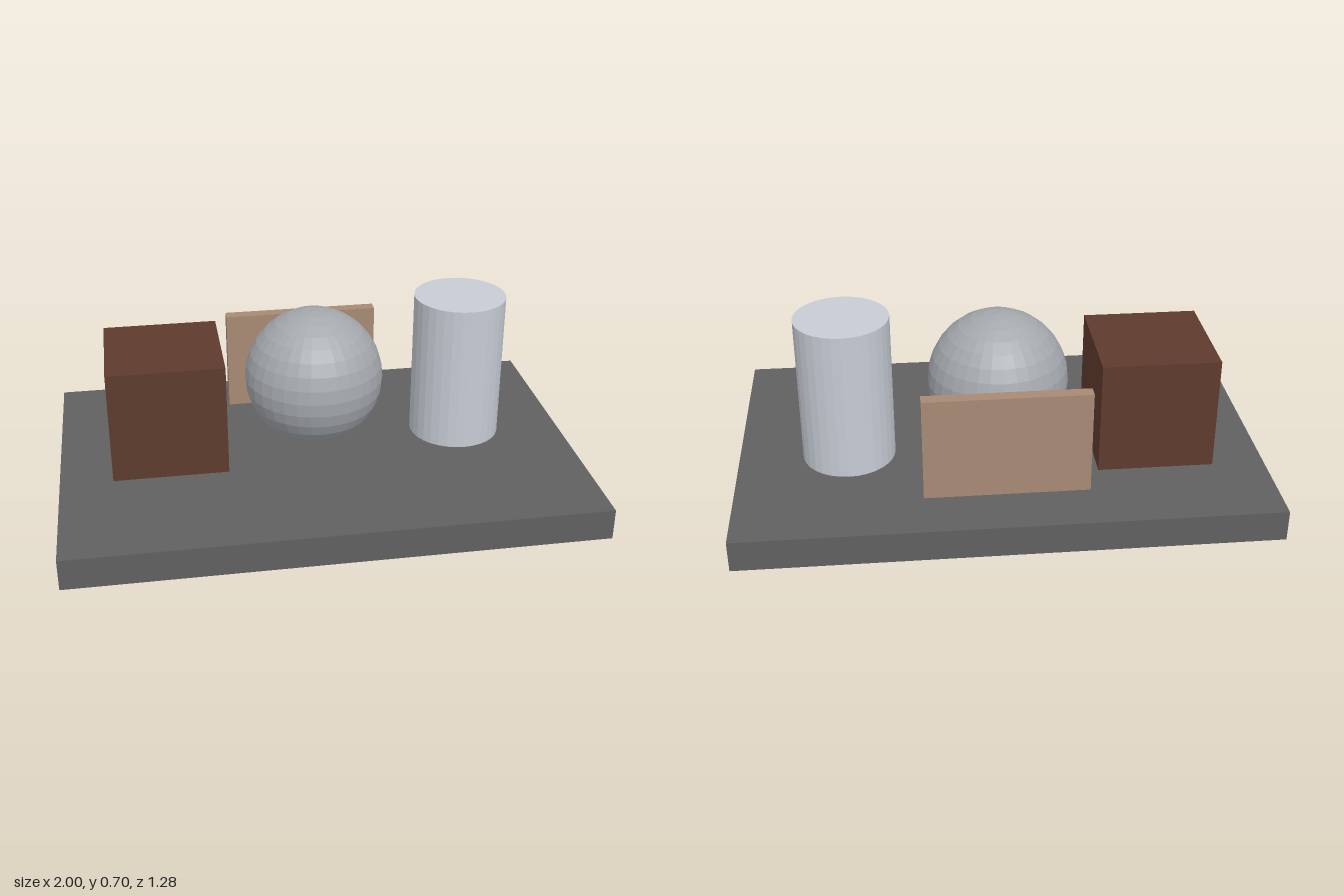
import * as THREE from 'three';

function material(name, color) {
  const m = new THREE.MeshStandardMaterial({ color });
  m.name = name;
  return m;
}

export function createModel() {
  const group = new THREE.Group();
  group.name = 'primitivesOnSlab';

  const faceted = (geometry) => {
    const g = geometry.toNonIndexed();
    g.computeVertexNormals();
    return g;
  };
  const add = (name, geometry, mat, x, y, z) => {
    const mesh = new THREE.Mesh(geometry, mat);
    mesh.name = name;
    mesh.position.set(x, y, z);
    group.add(mesh);
  };

  // Floor slab
  add('slab', new THREE.BoxGeometry(2, 0.12, 1.28), material('darkGrey', 0x606060), 0, 0.06, 0);

  // Cube resting on the slab
  add('cube', new THREE.BoxGeometry(0.44, 0.44, 0.44), material('darkBrown', 0x5e3b2d), -0.58, 0.34, -0.08);

  // Faceted ball hovering just above the slab
  add('ball', faceted(new THREE.SphereGeometry(0.268, 32, 16)), material('midGrey', 0xa5a9ae), 0, 0.411, -0.06);

  // Faceted upright cylinder
  add('cylinder', faceted(new THREE.CylinderGeometry(0.178, 0.178, 0.58, 32)), material('paleGrey', 0xc6ccd5), 0.58, 0.41, -0.08);

  // Thin upright panel behind the ball
  add('panel', new THREE.BoxGeometry(0.614, 0.4, 0.048), material('tan', 0xa88a74), 0, 0.33, -0.419);

  return group;
}
